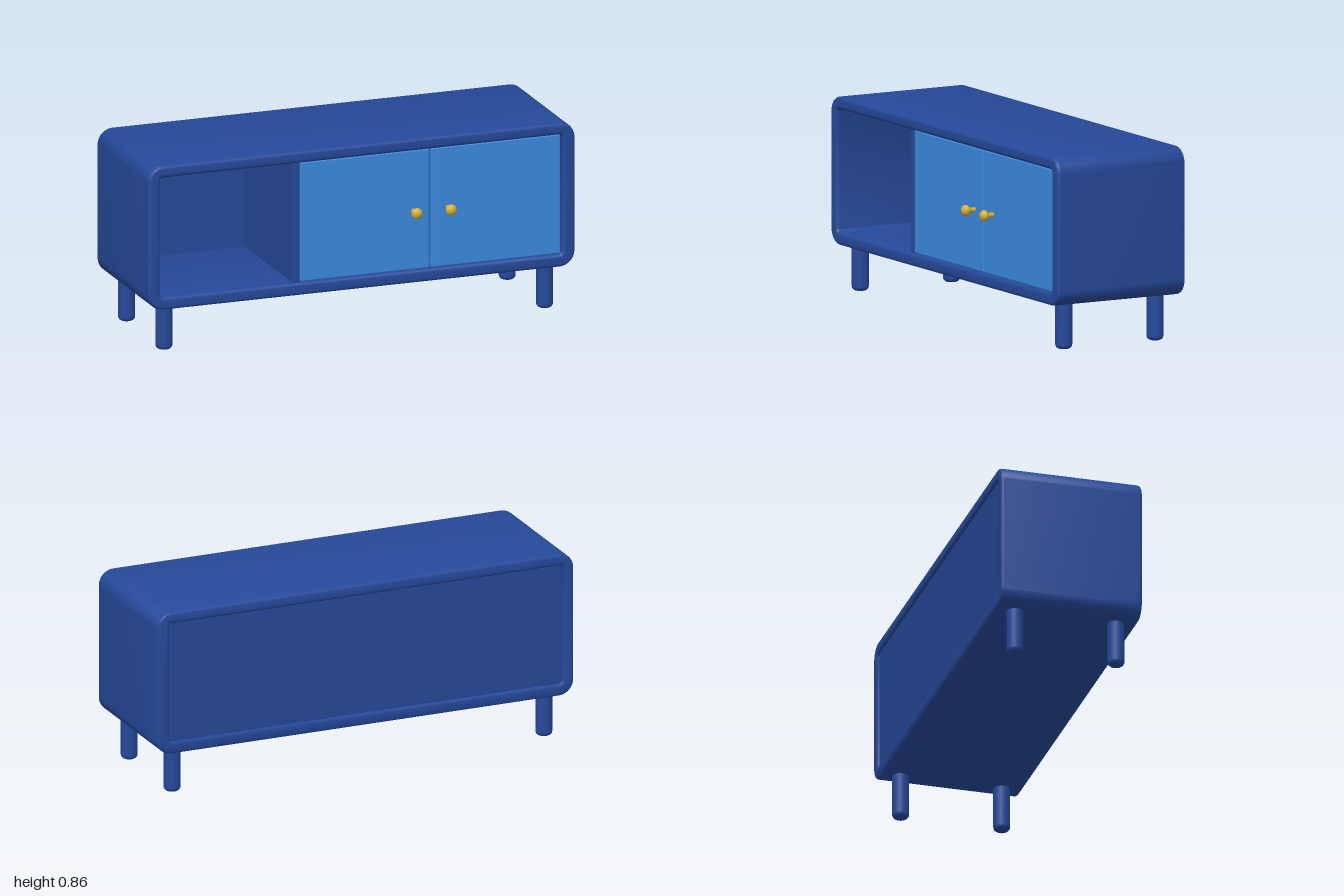
import * as THREE from 'three';
import { toCreasedNormals } from 'three/addons/utils/BufferGeometryUtils.js';
import { RoundedBoxGeometry } from 'three/addons/geometries/RoundedBoxGeometry.js';

const material = (name, color) => {
  const m = new THREE.MeshStandardMaterial({ color });
  m.name = name;
  return m;
};

// Rounded rectangle traced into a Shape or a Path
function roundedRect(path, x0, y0, x1, y1, r) {
  path.moveTo(x0 + r, y0);
  path.lineTo(x1 - r, y0);
  path.absarc(x1 - r, y0 + r, r, -Math.PI / 2, 0);
  path.lineTo(x1, y1 - r);
  path.absarc(x1 - r, y1 - r, r, 0, Math.PI / 2);
  path.lineTo(x0 + r, y1);
  path.absarc(x0 + r, y1 - r, r, Math.PI / 2, Math.PI);
  path.lineTo(x0, y0 + r);
  path.absarc(x0 + r, y0 + r, r, Math.PI, Math.PI * 1.5);
  return path;
}

const lathe = (points, segments) =>
  new THREE.LatheGeometry(points.map(([x, y]) => new THREE.Vector2(x, y)), segments);

export function createModel() {
  const group = new THREE.Group();
  const navy = material('navy paint', 0x26499a);
  const blue = material('door blue', 0x3a8ade);
  const brass = material('brass', 0xd4af37);

  const add = (name, geometry, mat, x = 0, y = 0, z = 0) => {
    const mesh = new THREE.Mesh(geometry, mat);
    mesh.name = name;
    mesh.position.set(x, y, z);
    group.add(mesh);
    return mesh;
  };
  // Softly rounded box given by its extents
  const slab = (name, mat, [x0, x1], [y0, y1], [z0, z1], r = 0.005) =>
    add(name, new RoundedBoxGeometry(x1 - x0, y1 - y0, z1 - z0, 2, r), mat,
      (x0 + x1) / 2, (y0 + y1) / 2, (z0 + z1) / 2);

  // Cabinet shell: a rounded tube open at front and back, with soft rims
  const bevel = 0.014;
  const outline = roundedRect(new THREE.Shape(), -1, 0.203, 1, 0.862, 0.07);
  outline.holes.push(roundedRect(new THREE.Path(), -0.945, 0.26, 0.94, 0.808, 0.016));
  const shell = new THREE.ExtrudeGeometry(outline, {
    depth: 0.645 - 2 * bevel, bevelEnabled: true, bevelSize: bevel, bevelThickness: bevel,
    bevelOffset: -bevel, bevelSegments: 4, curveSegments: 10,
  });
  add('shell', toCreasedNormals(shell, 0.6), navy, 0, 0, -0.348 + bevel);

  // Panels inside the shell
  slab('backPanel', navy, [-0.947, 0.942], [0.258, 0.81], [-0.338, -0.315], 0.003);
  slab('divider', navy, [-0.32, -0.287], [0.258, 0.81], [-0.32, 0.283]);

  // Doors with their knobs
  const doorY = [0.262, 0.806];
  slab('leftDoor', blue, [0.331, 0.935], doorY, [0.252, 0.284]);
  slab('rightDoor', blue, [-0.284, 0.32], doorY, [0.252, 0.284]);
  const knobProfile = [[0.011, 0], [0.011, 0.03]];
  for (let i = 1; i <= 12; i++) {
    const a = 0.45 + (Math.PI - 0.45) * (i / 12);
    knobProfile.push([Math.max(0, 0.025 * Math.sin(a)), 0.05 - 0.02 * Math.cos(a)]);
  }
  const knob = lathe(knobProfile, 24);
  knob.rotateX(Math.PI / 2);
  add('leftKnob', knob, brass, 0.406, 0.53, 0.28);
  add('rightKnob', knob, brass, 0.245, 0.53, 0.28);

  // Four round legs with softened feet
  const r = 0.0375, foot = 0.02;
  const legProfile = [[0, 0]];
  for (let i = 0; i <= 6; i++) {
    const a = (i / 6) * Math.PI / 2;
    legProfile.push([r - foot + foot * Math.sin(a), foot - foot * Math.cos(a)]);
  }
  legProfile.push([r, 0.215]);
  const leg = lathe(legProfile, 28);
  for (const [side, x] of [['Left', 0.89], ['Right', -0.895]]) {
    add('front' + side + 'Leg', leg, navy, x, 0, 0.206);
    add('back' + side + 'Leg', leg, navy, x, 0, -0.256);
  }

  return group;
}
